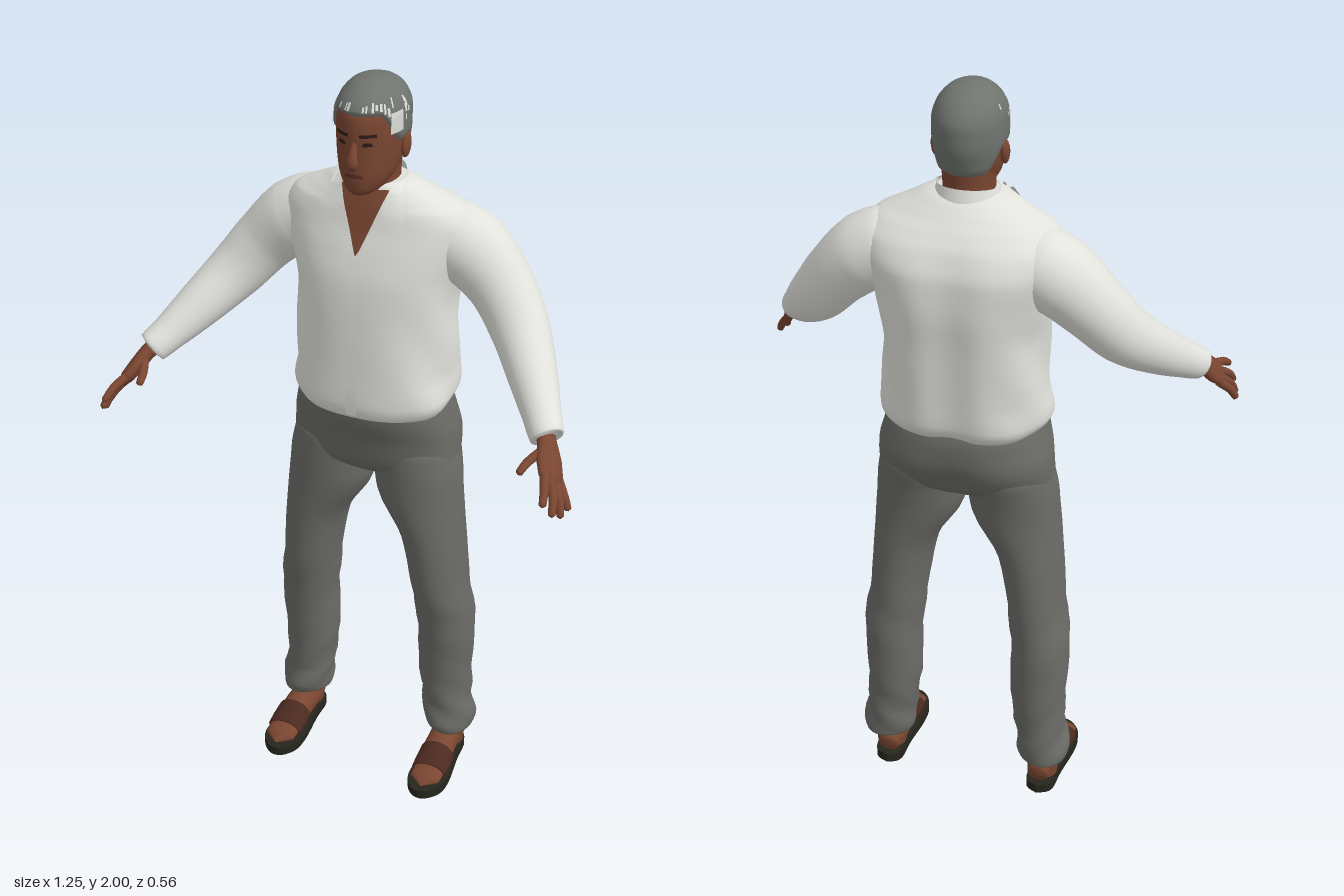
import * as THREE from 'three';

const mat = (name, hex, side = THREE.FrontSide) => {
  const m = new THREE.MeshStandardMaterial({ color: hex, side });
  m.name = name;
  return m;
};

// Bell curve, for soft dents and local folds
const bell = (d, width) => Math.exp(-d * d / (width * width));

// Grid surface from f(u, v); u runs around or to the left, v runs along
function sheet(f, nu, nv, closed) {
  const pos = [], idx = [], w = closed ? nu : nu + 1;
  for (let j = 0; j <= nv; j++) for (let i = 0; i < w; i++) pos.push(...f(i / nu, j / nv));
  for (let j = 0; j < nv; j++) for (let i = 0; i < nu; i++) {
    const a = j * w + i, b = j * w + (i + 1) % w, c = a + w, d = b + w;
    idx.push(a, b, d, a, d, c);
  }
  const g = new THREE.BufferGeometry();
  g.setAttribute('position', new THREE.Float32BufferAttribute(pos, 3));
  g.setIndex(idx);
  g.computeVertexNormals();
  return g;
}

// Smooth lookup in rows of [y, centre x, half width, front z, back z, roundness]
function rowAt(rows, y) {
  let i = 0;
  while (i < rows.length - 2 && y > rows[i + 1][0]) i++;
  const h = rows[i + 1][0] - rows[i][0], t = THREE.MathUtils.clamp((y - rows[i][0]) / h, 0, 1);
  const get = (r, k) => r[k] ?? 2;
  const slope = (a, k) => (get(rows[a + 1], k) - get(rows[a], k)) / (rows[a + 1][0] - rows[a][0]);
  const tan = (a, k) => {
    if (a === 0) return slope(0, k);
    if (a === rows.length - 1) return slope(a - 1, k);
    const p = slope(a - 1, k), q = slope(a, k);
    return p * q > 0 ? 2 * p * q / (p + q) : 0;
  };
  return [1, 2, 3, 4, 5].map(k => {
    const t2 = t * t, t3 = t2 * t;
    return get(rows[i], k) * (2 * t3 - 3 * t2 + 1) + get(rows[i + 1], k) * (3 * t2 - 2 * t3)
      + h * (tan(i, k) * (t3 - 2 * t2 + t) + tan(i + 1, k) * (t3 - t2));
  });
}

// Point on a body form; angle 0 is the front, a quarter turn is +x
function formAt(rows, a, y, grow = 0) {
  const [cx, rx, zf, zb, p] = rowAt(rows, y), s = Math.sin(a), c = Math.cos(a);
  const e = v => Math.sign(v) * Math.pow(Math.abs(v), 2 / p);
  return [cx + (rx + grow) * e(s), y, (zf + zb) / 2 + ((zf - zb) / 2 + grow) * e(c)];
}

function form(rows, bump = () => 0, nu = 40, k = 4) {
  const n = rows.length - 1;
  return sheet((u, v) => {
    const t = v * n, i = Math.min(n - 1, Math.floor(t + 1e-9));
    const y = rows[i][0] + (rows[i + 1][0] - rows[i][0]) * (t - i), a = u * Math.PI * 2;
    return formAt(rows, a, y, bump(a, y));
  }, nu, n * k, true);
}

// Thin plate lying on the front of a form, between edges xa(v) and xb(v)
function plate(rows, y0, y1, xa, xb, off) {
  return sheet((u, v) => {
    const y = y0 + (y1 - y0) * v, x = xa(v) + (xb(v) - xa(v)) * u, [cx, rx, zf, zb, p] = rowAt(rows, y);
    const q = Math.min(1, Math.abs((x - cx) / rx));
    return [x, y, (zf + zb) / 2 + (zf - zb) / 2 * Math.pow(1 - Math.pow(q, p), 1 / p) + off];
  }, 8, 10);
}

// Limb through points [x, y, z, width, height]; height lies along ref
function limb(pts, ref = [0, 0, 1], nu = 20, k = 5) {
  const curve = new THREE.CatmullRomCurve3(pts.map(p => new THREE.Vector3(...p.slice(0, 3))));
  const n = pts.length - 1, up = new THREE.Vector3(...ref);
  return sheet((u, v) => {
    const f = v * n, i = Math.min(n - 1, Math.floor(f + 1e-9)), t = f - i;
    const size = q => THREE.MathUtils.lerp(pts[i][q] ?? pts[i][3], pts[i + 1][q] ?? pts[i + 1][3], t);
    const T = curve.getTangent(v), S = up.clone().cross(T).normalize(), N = T.clone().cross(S);
    const a = u * Math.PI * 2;
    return curve.getPoint(v).addScaledVector(S, Math.cos(a) * size(3)).addScaledVector(N, Math.sin(a) * size(4)).toArray();
  }, nu, n * k, true);
}

function mirrored(g) {
  const m = (g.index ? g.toNonIndexed() : g.clone()).scale(-1, 1, 1);
  for (const at of Object.values(m.attributes)) for (let i = 0; i < at.count; i += 3) for (let c = 0; c < at.itemSize; c++) {
    const b = at.getComponent(i + 1, c);
    at.setComponent(i + 1, c, at.getComponent(i + 2, c));
    at.setComponent(i + 2, c, b);
  }
  return m;
}

export function createModel() {
  const D = THREE.DoubleSide, model = new THREE.Group();
  model.name = 'standingMan';
  const skin = mat('skin', 0x7a4631, D), shirt = mat('shirtWhite', 0xe2e2dd, D), cloth = mat('trouserGrey', 0x6b6c67);
  const hair = mat('hairGrey', 0x70746f, D), white = mat('whiteHair', 0xd8d8d2, D), sole = mat('soleBlack', 0x26261d);
  const strap = mat('strapBrown', 0x4c2a20), dark = mat('darkFeatures', 0x2c1c16, D), lip = mat('lips', 0x5c2f25, D);
  const add = (name, g, m) => {
    const mesh = new THREE.Mesh(g, m);
    mesh.name = name;
    model.add(mesh);
  };
  const pair = (name, g, m) => {
    add('left' + name, g, m);
    add('right' + name, mirrored(g), m);
  };

  // Trousers
  add('trouserHips', form([[0.925, 0, 0.03, -0.06, -0.13], [0.94, 0, 0.15, -0.02, -0.17], [0.98, 0, 0.226, 0.016, -0.218, 2.3],
    [1.06, 0, 0.222, 0.032, -0.25, 2.3], [1.12, 0, 0.208, 0.05, -0.245, 2.3], [1.17, 0, 0.195, 0.055, -0.23, 2.3]],
    (a, y) => -0.016 * bell(a - Math.PI, 0.2) * Math.max(0, 1 - Math.abs(y - 1.02) / 0.1)), cloth);
  pair('TrouserLeg', form([[0.109, 0.22, 0.045, -0.07, -0.17], [0.11, 0.22, 0.066, -0.045, -0.195], [0.14, 0.218, 0.071, -0.038, -0.198],
    [0.2, 0.21, 0.067, -0.045, -0.195], [0.32, 0.201, 0.073, -0.04, -0.2], [0.45, 0.203, 0.077, -0.028, -0.2],
    [0.6, 0.187, 0.076, -0.002, -0.195], [0.75, 0.167, 0.084, 0.008, -0.195], [0.88, 0.126, 0.115, 0.012, -0.2],
    [0.95, 0.118, 0.117, 0.012, -0.208], [1.02, 0.11, 0.112, 0.01, -0.22], [1.06, 0.11, 0.06, -0.03, -0.17]],
    (a, y) => 0.004 * Math.sin(3 * a + y * 60) * bell(y - 0.2, 0.12) + 0.003 * Math.sin(2 * a + y * 45) * bell(y - 0.52, 0.1)), cloth);

  // Shirt body, with soft folds and a furrow down the back
  const torso = [[1.139, 0, 0.17, 0.03, -0.22, 2.4], [1.14, 0, 0.193, 0.058, -0.243, 2.4], [1.18, 0, 0.212, 0.066, -0.262, 2.4],
    [1.25, 0, 0.204, 0.064, -0.266, 2.4], [1.4, 0, 0.2, 0.058, -0.275, 2.4], [1.5, 0, 0.212, 0.05, -0.283, 2.4],
    [1.58, 0, 0.234, 0.03, -0.28, 2.4], [1.64, 0, 0.245, 0.01, -0.255, 2.3], [1.68, 0, 0.218, 0, -0.22, 2.2],
    [1.7, 0, 0.182, -0.005, -0.2], [1.72, 0, 0.14, -0.012, -0.18], [1.745, 0, 0.085, -0.02, -0.145], [1.75, 0, 0.03, -0.06, -0.1]];
  add('shirtBody', form(torso, (a, y) => {
    const fade = THREE.MathUtils.smoothstep(1.6 - y, 0, 0.2), furrow = THREE.MathUtils.smoothstep(1.7 - y, 0, 0.1);
    return 0.005 * fade * Math.sin(a) * Math.sin(a) * Math.sin(5 * a + y * 24) - 0.013 * furrow * bell(a - Math.PI, 0.2);
  }, 64), shirt);
  add('shirtPlacket', plate(torso, 1.15, 1.575, () => -0.014, () => 0.014, 0.003), shirt);
  add('openNeckline', plate(torso, 1.57, 1.735, v => -0.062 * v, v => 0.062 * v, 0.005), skin);
  pair('CollarFlap', plate(torso, 1.65, 1.745, v => 0.045 + 0.022 * v, v => 0.12 - 0.03 * v, 0.014), shirt);
  pair('NecklineEdge', plate(torso, 1.57, 1.67, v => 0.058 * v - 0.004, v => 0.058 * v + 0.02, 0.008), shirt);
  add('collarBand', sheet((u, v) => {
    const a = 0.6 + u * (Math.PI * 2 - 1.2), r = 0.092 - 0.018 * v;
    return [r * Math.sin(a), 1.695 + 0.06 * v - 0.012 * Math.cos(a), -0.085 + r * 0.92 * Math.cos(a)];
  }, 32, 4), shirt);

  // Sleeves
  pair('Sleeve', limb([[0.13, 1.6, -0.13, 0.07], [0.18, 1.595, -0.13, 0.095], [0.24, 1.565, -0.13, 0.096], [0.315, 1.495, -0.118, 0.082],
    [0.38, 1.415, -0.08, 0.074], [0.45, 1.335, 0.005, 0.06], [0.5, 1.28, 0.075, 0.047], [0.53, 1.25, 0.118, 0.041],
    [0.531, 1.249, 0.119, 0.02]], [0, 0, 1], 28), shirt);

  // Hands
  const back = [0.78, 0.62, 0.05];
  pair('Palm', limb([[0.51, 1.265, 0.095, 0.025], [0.535, 1.243, 0.13, 0.028, 0.02], [0.552, 1.215, 0.16, 0.04, 0.02],
    [0.568, 1.19, 0.188, 0.04, 0.017], [0.576, 1.178, 0.203, 0.018, 0.008], [0.577, 1.177, 0.204, 0]], back), skin);
  const fingers = {
    Thumb: [[0.535, 1.235, 0.15], [0.512, 1.222, 0.2], [0.503, 1.208, 0.238]],
    IndexFinger: [[0.553, 1.207, 0.195], [0.572, 1.19, 0.245], [0.582, 1.165, 0.285]],
    MiddleFinger: [[0.565, 1.195, 0.19], [0.59, 1.165, 0.232], [0.6, 1.13, 0.265]],
    RingFinger: [[0.573, 1.183, 0.18], [0.6, 1.148, 0.213], [0.612, 1.112, 0.235]],
    LittleFinger: [[0.578, 1.175, 0.165], [0.605, 1.143, 0.19], [0.62, 1.115, 0.2]],
  };
  for (const [name, [a, b, c]] of Object.entries(fingers)) {
    const near = b.map((v, i) => v + (c[i] - v) * 0.85);
    pair(name, limb([[...a, 0.012], [...b, 0.011], [...near, 0.009], [...c, 0]], back, 10, 3), skin);
  }

  // Feet and sandals
  pair('Ankle', limb([[0.218, 0.04, -0.12, 0.04], [0.22, 0.1, -0.118, 0.043], [0.22, 0.18, -0.12, 0.045]]), skin);
  const foot = [[0.215, 0.055, -0.17, 0], [0.215, 0.057, -0.163, 0.028, 0.03], [0.215, 0.064, -0.12, 0.039, 0.045],
    [0.219, 0.06, -0.05, 0.042, 0.042], [0.222, 0.046, 0.01, 0.046, 0.028], [0.222, 0.037, 0.07, 0.042, 0.016], [0.222, 0.033, 0.1, 0]];
  pair('Foot', limb(foot, [0, 1, 0]), skin);
  pair('SandalStrap', limb([[0.221, 0.055, -0.028, 0.04, 0.03], [0.221, 0.055, -0.027, 0.048, 0.04],
    [0.222, 0.047, 0.01, 0.05, 0.032], [0.222, 0.042, 0.042, 0.049, 0.025], [0.222, 0.042, 0.043, 0.04, 0.018]], [0, 1, 0]), strap);
  const outline = new THREE.Shape();
  outline.moveTo(0.215, -0.178);
  outline.splineThru([[0.252, -0.155], [0.26, -0.08], [0.274, 0.02], [0.268, 0.075], [0.235, 0.11], [0.2, 0.108], [0.172, 0.07],
    [0.168, 0.01], [0.178, -0.08], [0.182, -0.155], [0.215, -0.178]].map(p => new THREE.Vector2(...p)));
  const soleGeo = new THREE.ExtrudeGeometry(outline, { depth: 0.026, bevelEnabled: false, curveSegments: 4 });
  pair('SandalSole', soleGeo.rotateX(Math.PI / 2).translate(0, 0.026, 0), sole);

  // Neck and head
  add('neck', form([[1.62, 0, 0.06, -0.02, -0.15], [1.7, 0, 0.062, -0.012, -0.15], [1.76, 0, 0.062, -0.005, -0.15], [1.82, 0, 0.066, -0.01, -0.155]]), skin);
  const head = [[1.729, 0, 0.005, 0.005, -0.03], [1.735, 0, 0.03, 0.034, -0.06], [1.755, 0, 0.052, 0.044, -0.11], [1.785, 0, 0.068, 0.047, -0.145],
    [1.83, 0, 0.077, 0.046, -0.163], [1.88, 0, 0.081, 0.046, -0.177], [1.92, 0, 0.08, 0.042, -0.177], [1.95, 0, 0.07, 0.026, -0.163],
    [1.972, 0, 0.053, 0, -0.138], [1.984, 0, 0.034, -0.025, -0.107], [1.99, 0, 0.001, -0.064, -0.066]];
  add('head', form(head), skin);
  add('nose', limb([[0, 1.875, 0.036, 0.007], [0, 1.845, 0.05, 0.01], [0, 1.822, 0.056, 0.015, 0.013], [0, 1.812, 0.05, 0.012], [0, 1.808, 0.044, 0]]), skin);
  pair('Ear', new THREE.SphereGeometry(1, 14, 10).scale(0.011, 0.032, 0.019).rotateX(-0.2).translate(0.083, 1.838, -0.07), skin);
  pair('Brow', plate(head, 1.884, 1.892, () => 0.014, () => 0.05, 0.003), dark);
  pair('Eye', plate(head, 1.863, 1.872, v => 0.02 + 0.004 * v, v => 0.044 - 0.004 * v, 0.003), dark);
  add('mouth', plate(head, 1.783, 1.793, v => -0.024 + 0.005 * v, v => 0.024 - 0.005 * v, 0.003), lip);

  // Hair cap: high over the brow, low at the nape
  const hairAt = (a, y, s) => {
    const [x, , z] = formAt(head, a, y);
    return [x * s, 1.88 + (y - 1.88) * s, -0.065 + (z + 0.065) * s];
  };
  const hairline = a => {
    const t = Math.abs(a > Math.PI ? a - 2 * Math.PI : a), S = THREE.MathUtils.smoothstep;
    return 1.932 - 0.075 * S(t, 0.7, 1.4) - 0.06 * S(t, 1.7, 2.4);
  };
  add('hair', sheet((u, v) => {
    const a = u * Math.PI * 2, low = hairline(a), y = low + (1.99 - low) * Math.sin(v * Math.PI / 2);
    return hairAt(a, y, v === 0 ? 0.99 : 1.075);
  }, 56, 20, true), hair);

  // White temples and scattered white strands
  const streak = (a0, a1, y0, y1) => sheet((u, v) => hairAt(a0 + (a1 - a0) * u, y0 + (y1 - y0) * v, 1.09), 4, 6);
  pair('WhiteTemple', streak(1.0, 1.38, 1.885, 1.93), white);
  let seed = 7;
  const rnd = () => (seed = (seed * 16807) % 2147483647) / 2147483647;
  for (let i = 0; i < 22; i++) {
    const a = (rnd() - 0.5) * 3.6, y = Math.max(hairline(a) + 0.006, 1.9 + rnd() * 0.045);
    add('whiteStrand' + i, streak(a, a + 0.035 + rnd() * 0.05, y, y + 0.008 + rnd() * 0.014), white);
  }
  return model;
}
